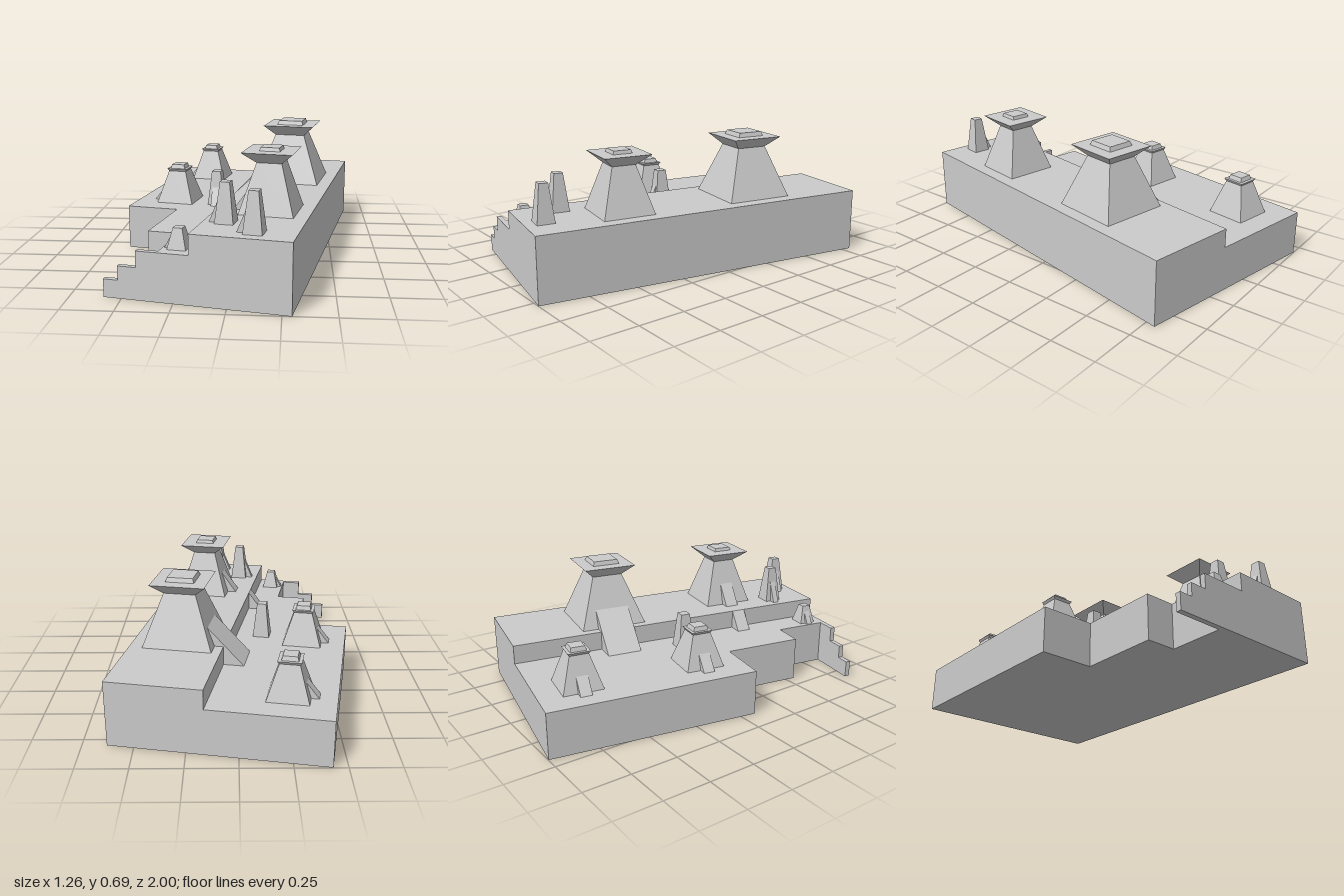
import * as THREE from 'three';

const LOW = 0.24, HIGH = 0.34, EDGE = -0.003;
const material = new THREE.MeshStandardMaterial({ color: 0xcccccc, flatShading: true });

function mesh(name, geometry) {
  const m = new THREE.Mesh(geometry, material);
  m.name = name;
  return m;
}

// Extrudes a closed outline of [x, y] points.
function prism(points, depth) {
  const shape = new THREE.Shape(points.map(([x, y]) => new THREE.Vector2(x, y)));
  return new THREE.ExtrudeGeometry(shape, { depth, bevelEnabled: false });
}

// Square stack: each ring is [side, height], closed at the top.
function squareStack(rings) {
  const points = rings.map(([side, y]) => new THREE.Vector2(side / Math.SQRT2, y));
  points.push(new THREE.Vector2(0, rings[rings.length - 1][1]));
  return new THREE.LatheGeometry(points, 4, Math.PI / 4);
}

// Ramp rising along +x from its toe at the origin.
function ramp(run, rise, width) {
  const geometry = prism([[0, 0], [run, 0], [run, rise]], width);
  geometry.translate(0, 0, -width / 2);
  return mesh('ramp', geometry);
}

// A tapered building with a ramp leaning on one side.
function building(name, x, z, floor, rings, r) {
  const group = new THREE.Group();
  group.name = name;
  group.position.set(x, floor, z);
  group.add(mesh('walls', squareStack(rings)));
  const slope = new THREE.Group();
  const wedge = ramp(r.run, r.rise, r.width);
  wedge.position.set(-r.toe, r.base ?? 0, 0);
  slope.add(wedge);
  slope.rotation.y = r.turn ?? 0;
  group.add(slope);
  return group;
}

export function createModel() {
  const model = new THREE.Group();
  model.name = 'templeTerrace';
  const site = new THREE.Group();
  site.name = 'site';
  site.rotation.y = -0.184;
  model.add(site);

  // Upper terrace
  const upper = mesh('upperTerrace', new THREE.BoxGeometry(0.473 - EDGE, HIGH, 1.832));
  upper.position.set((0.473 + EDGE) / 2, HIGH / 2, 0.013);
  site.add(upper);

  // Lower terrace with a notched outline, drawn as [x, -z]
  const lower = prism([
    [EDGE, 0.903], [-0.605, 0.903], [-0.605, -0.193], [-0.319, -0.193],
    [-0.319, -0.619], [-0.156, -0.619], [-0.156, -0.929], [EDGE, -0.929],
  ], LOW);
  lower.rotateX(-Math.PI / 2);
  site.add(mesh('lowerTerrace', lower));

  // Stepped end wall
  const steps = prism([
    [-0.156, 0], [-0.156, LOW], [-0.259, LOW], [-0.259, 0.16],
    [-0.351, 0.16], [-0.351, 0.09], [-0.424, 0.09], [-0.424, 0],
  ], 0.027);
  steps.translate(0, 0, 0.902);
  site.add(mesh('steppedWall', steps));

  // Large capped towers
  site.add(building('largeTower', 0.223, -0.33, HIGH,
    [[0.36, 0], [0.166, 0.268], [0.283, 0.325], [0.148, 0.325], [0.133, 0.348]],
    { toe: 0.333, run: 0.19, rise: 0.2, width: 0.187, base: LOW - HIGH }));
  site.add(building('middleTower', 0.266, 0.427, HIGH,
    [[0.275, 0], [0.126, 0.248], [0.252, 0.304], [0.103, 0.304], [0.093, 0.322]],
    { toe: 0.186, run: 0.086, rise: 0.12, width: 0.075 }));

  // Small capped towers on the lower terrace
  for (const z of [-0.68, -0.03]) {
    site.add(building('smallTower', -0.375, z, LOW,
      [[0.207, 0], [0.098, 0.176], [0.115, 0.19], [0.083, 0.19], [0.07, 0.212]],
      { toe: 0.143, run: 0.063, rise: 0.08, width: 0.06 }));
  }

  // Obelisks
  for (const [x, z] of [[0.109, 0.699], [0.278, 0.829]]) {
    site.add(building('tallObelisk', x, z, HIGH, [[0.092, 0], [0.047, 0.198]],
      { toe: 0.081, run: 0.05, rise: 0.12, width: 0.032 }));
  }
  site.add(building('lowObelisk', -0.08, 0.828, LOW, [[0.092, 0], [0.045, 0.1]],
    { toe: 0.068, run: 0.038, rise: 0.068, width: 0.032 }));
  site.add(building('sideObelisk', -0.14, 0.003, LOW, [[0.09, 0], [0.05, 0.19]],
    { toe: 0.076, run: 0.04, rise: 0.1, width: 0.04, turn: Math.PI / 2 }));

  // Ramp joining the two terraces
  const link = ramp(0.075, HIGH - LOW, 0.075);
  link.name = 'terraceRamp';
  link.position.set(EDGE - 0.075, LOW, 0.421);
  site.add(link);

  return model;
}
